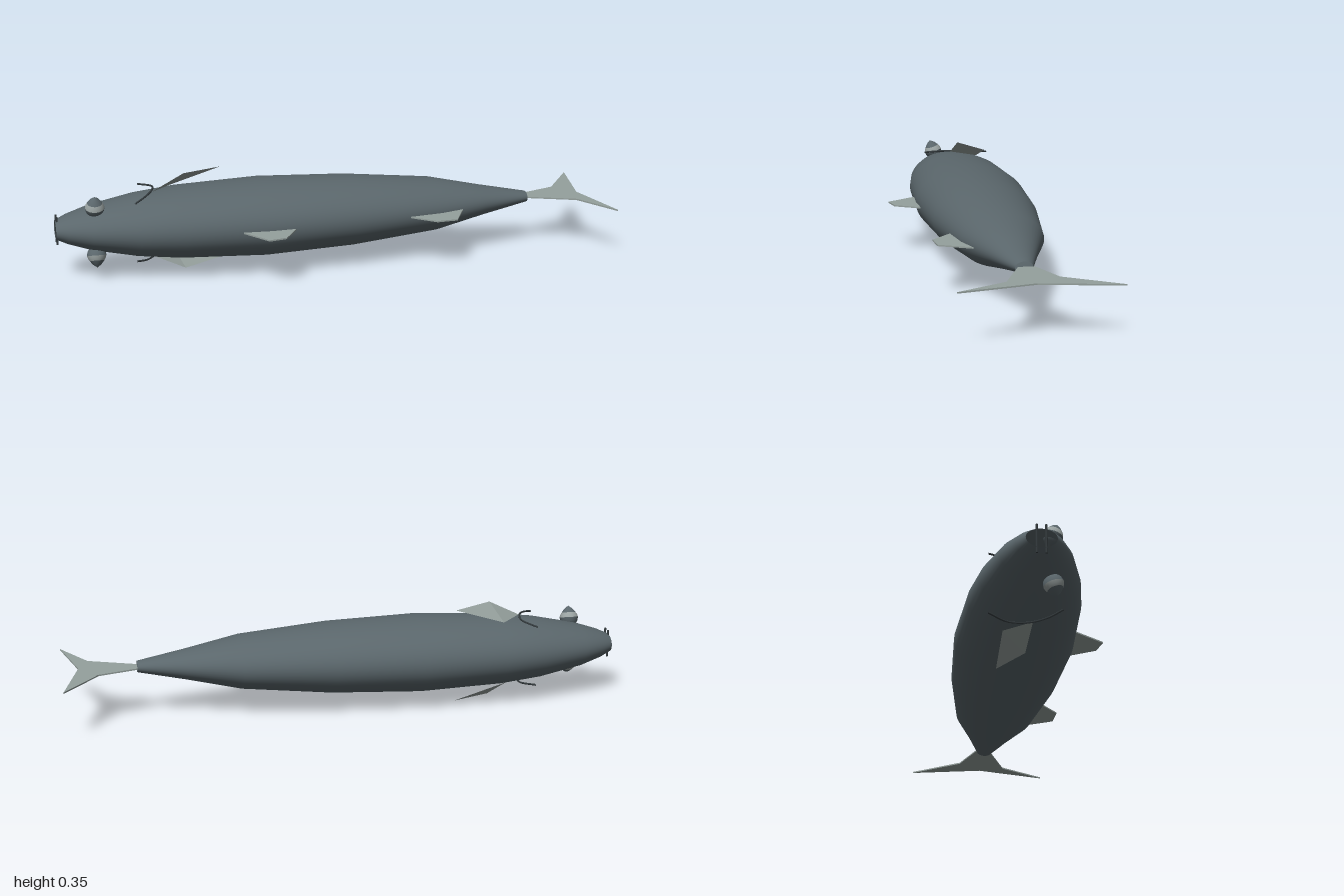
import * as THREE from 'three';

const mat = (name, color, side = THREE.FrontSide) => {
  const m = new THREE.MeshStandardMaterial({ color, side });
  m.name = name;
  return m;
};

export function createModel() {
  const skin = mat('slate skin', 0x5a666b, THREE.DoubleSide);
  const finGrey = mat('pale fin', 0x95a09d, THREE.DoubleSide);
  const dark = mat('dark line', 0x353c3f);
  const eyeLight = mat('eye band', 0x9aa3a2);

  // The fish lies on its side: everything is built around its middle plane
  const fish = new THREE.Group();
  fish.name = 'fish';
  fish.position.y = 0.18;

  const add = (parent, name, geometry, material) => {
    const mesh = new THREE.Mesh(geometry, material);
    mesh.name = name;
    parent.add(mesh);
    return mesh;
  };

  // Body: an open oval tube, [x, half depth]
  const profile = [[-1, 0.05], [-0.96, 0.078], [-0.88, 0.117], [-0.72, 0.165], [-0.57, 0.19],
    [-0.27, 0.208], [0.05, 0.19], [0.37, 0.144], [0.56, 0.082], [0.735, 0.03]];
  const bodyGeo = new THREE.LatheGeometry(profile.map(([x, r]) => new THREE.Vector2(r, x)), 48);
  bodyGeo.rotateZ(-Math.PI / 2).scale(1, 0.648, 1).translate(0, 0, -0.021);
  add(fish, 'body', bodyGeo, skin);

  // Thin flat fins in the middle plane, outlines in [x, z]
  const flatFin = (name, outline) => {
    const shape = new THREE.Shape(outline.map(([x, z]) => new THREE.Vector2(x, -z)));
    const geo = new THREE.ExtrudeGeometry(shape, { depth: 0.005, bevelEnabled: false });
    geo.rotateX(-Math.PI / 2).translate(0, -0.0025, 0);
    add(fish, name, geo, finGrey);
  };
  flatFin('tailFin', [[0.735, -0.055], [0.873, -0.107], [0.997, -0.29], [0.94, -0.02],
    [0.997, 0.24], [0.905, 0.07], [0.735, 0]]);
  flatFin('frontFin', [[-0.39, 0.15], [-0.30, 0.287], [-0.237, 0.273], [-0.165, 0.15]]);
  flatFin('rearFin', [[0.2, 0.1], [0.323, 0.213], [0.398, 0.208], [0.468, 0.07]]);

  // Paired parts, one set for each flank
  const eyeSections = [
    ['eyeBase', [[0, -0.034], [0.02, -0.028], [0.031, -0.012], [0.034, 0.002]], skin],
    ['eyeBand', [[0.034, 0.002], [0.031, 0.012], [0.026, 0.02]], eyeLight],
    ['eyeTip', [[0.026, 0.02], [0.015, 0.034], [0, 0.045]], skin],
  ];
  for (const side of [1, -1]) {
    const flank = new THREE.Group();
    flank.name = side > 0 ? 'upperFlank' : 'lowerFlank';
    flank.scale.y = side;
    fish.add(flank);

    // Eye, tilted a little outward
    const eye = new THREE.Group();
    eye.name = 'eye';
    eye.position.set(-0.865, 0.085, 0.033);
    eye.rotation.x = 0.3;
    flank.add(eye);
    for (const [name, points, material] of eyeSections) {
      add(eye, name, new THREE.LatheGeometry(points.map(p => new THREE.Vector2(...p)), 20), material);
    }

    // Pectoral fin: a bent four-cornered sheet
    const finGeo = new THREE.BufferGeometry();
    finGeo.setAttribute('position', new THREE.Float32BufferAttribute([
      -0.66, 0.118, -0.005, -0.545, 0.175, -0.016, -0.4, 0.169, -0.097, -0.58, 0.115, -0.095], 3));
    finGeo.setIndex([0, 1, 3, 1, 2, 3]);
    const flat = finGeo.toNonIndexed();
    flat.computeVertexNormals();
    add(flank, 'pectoralFin', flat, finGrey);

    // Gill line
    const gill = new THREE.CatmullRomCurve3([[-0.69, 0.108, -0.155], [-0.65, 0.117, -0.085],
      [-0.66, 0.12, -0.015], [-0.69, 0.115, 0.04], [-0.732, 0.104, 0.085]]
      .map(p => new THREE.Vector3(...p)));
    add(flank, 'gillLine', new THREE.TubeGeometry(gill, 20, 0.0035, 6), dark);
  }

  // Two thin bars across the mouth
  for (const z of [-0.036, -0.006]) {
    const bar = add(fish, 'mouthBar', new THREE.CylinderGeometry(0.004, 0.004, 0.1, 8), dark);
    bar.position.set(-0.995, 0, z);
  }

  const model = new THREE.Group();
  model.name = 'model';
  model.add(fish);
  return model;
}
